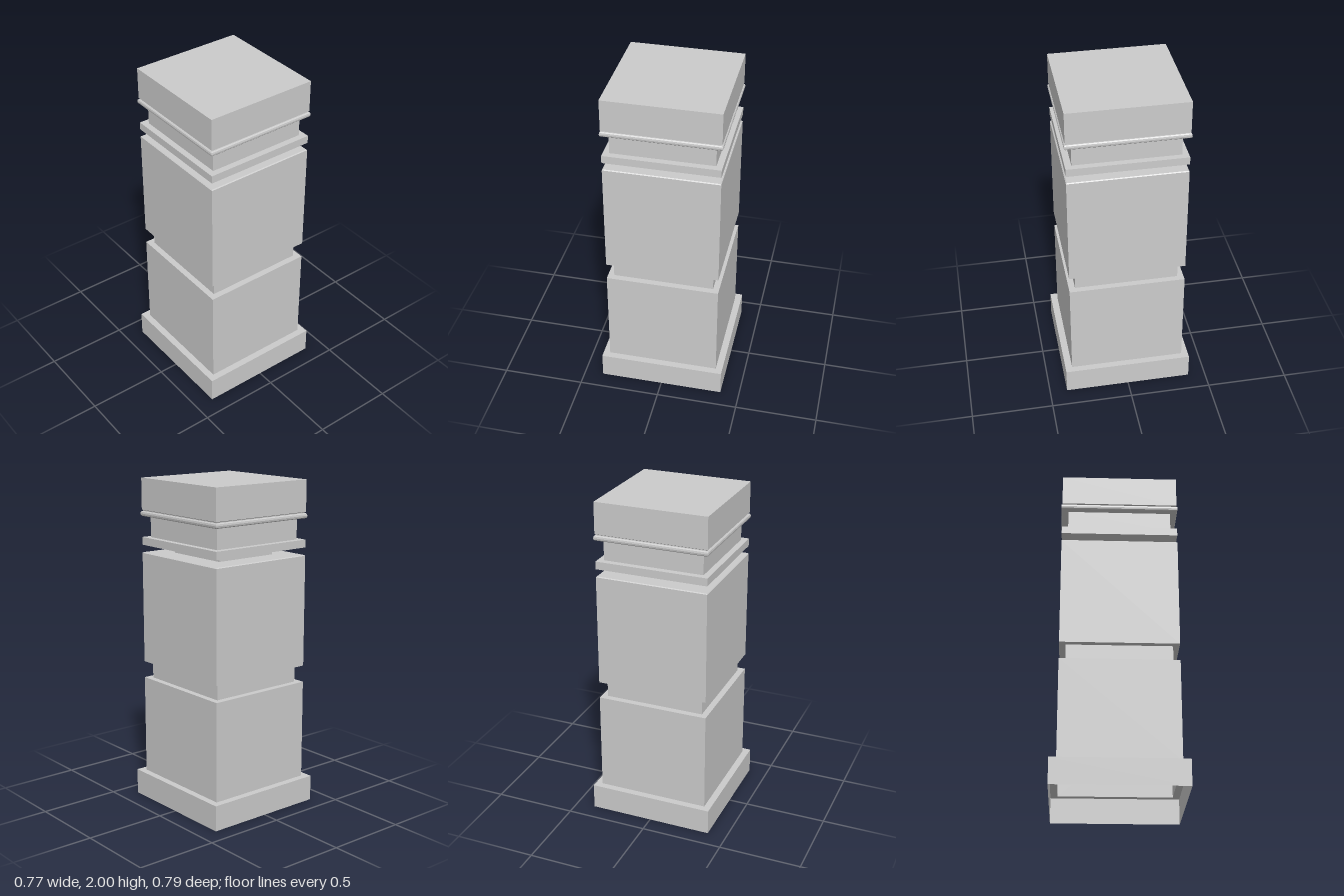
import * as THREE from 'three';

const DEPTH = 1.026; // the pillar is slightly deeper than wide

const material = new THREE.MeshStandardMaterial({
  color: 0xcccccc,
  flatShading: true,
  side: THREE.DoubleSide,
});

// Sweeps a profile of [half width, height] points, bottom to top, round a square plan.
function squareShell(name, profile) {
  const points = profile.map(([half, y]) => new THREE.Vector2(half * Math.SQRT2, y));
  const geometry = new THREE.LatheGeometry(points, 4, Math.PI / 4).toNonIndexed();
  geometry.scale(1, 1, DEPTH);
  geometry.computeVertexNormals();
  const mesh = new THREE.Mesh(geometry, material);
  mesh.name = name;
  return mesh;
}

export function createModel() {
  const pillar = new THREE.Group();
  pillar.name = 'pillar';

  const shaft = 0.342, recess = 0.305, neck = 0.204;

  pillar.add(
    // Hollow plinth, open underneath, with a ledge in to the shaft
    squareShell('plinth', [[0.383, 0], [0.383, 0.157], [shaft, 0.157]]),
    squareShell('lowerShaft', [[shaft, 0.157], [shaft, 0.768], [recess, 0.768]]),
    squareShell('middleRecess', [[recess, 0.768], [recess, 0.871]]),
    // Upper shaft with a slightly eased top edge
    squareShell('upperShaft', [[recess, 0.871], [shaft, 0.871], [shaft, 1.548], [shaft - 0.005, 1.553], [neck, 1.553]]),
    squareShell('neck', [[neck, 1.553], [neck, 1.598]]),
    squareShell('collar', [[neck, 1.598], [shaft, 1.598], [shaft, 1.645], [recess, 1.645]]),
    squareShell('upperRecess', [[recess, 1.645], [recess, 1.772]]),
    // Rounded moulding under the cap
    squareShell('bead', [
      [recess, 1.772], [0.341, 1.772], [0.346, 1.777], [0.348, 1.787],
      [0.346, 1.797], [0.341, 1.802], [0.335, 1.802],
    ]),
    squareShell('cap', [[0.335, 1.802], [0.335, 1.806], [shaft, 1.81], [shaft, 2], [0, 2]]),
  );
  return pillar;
}
